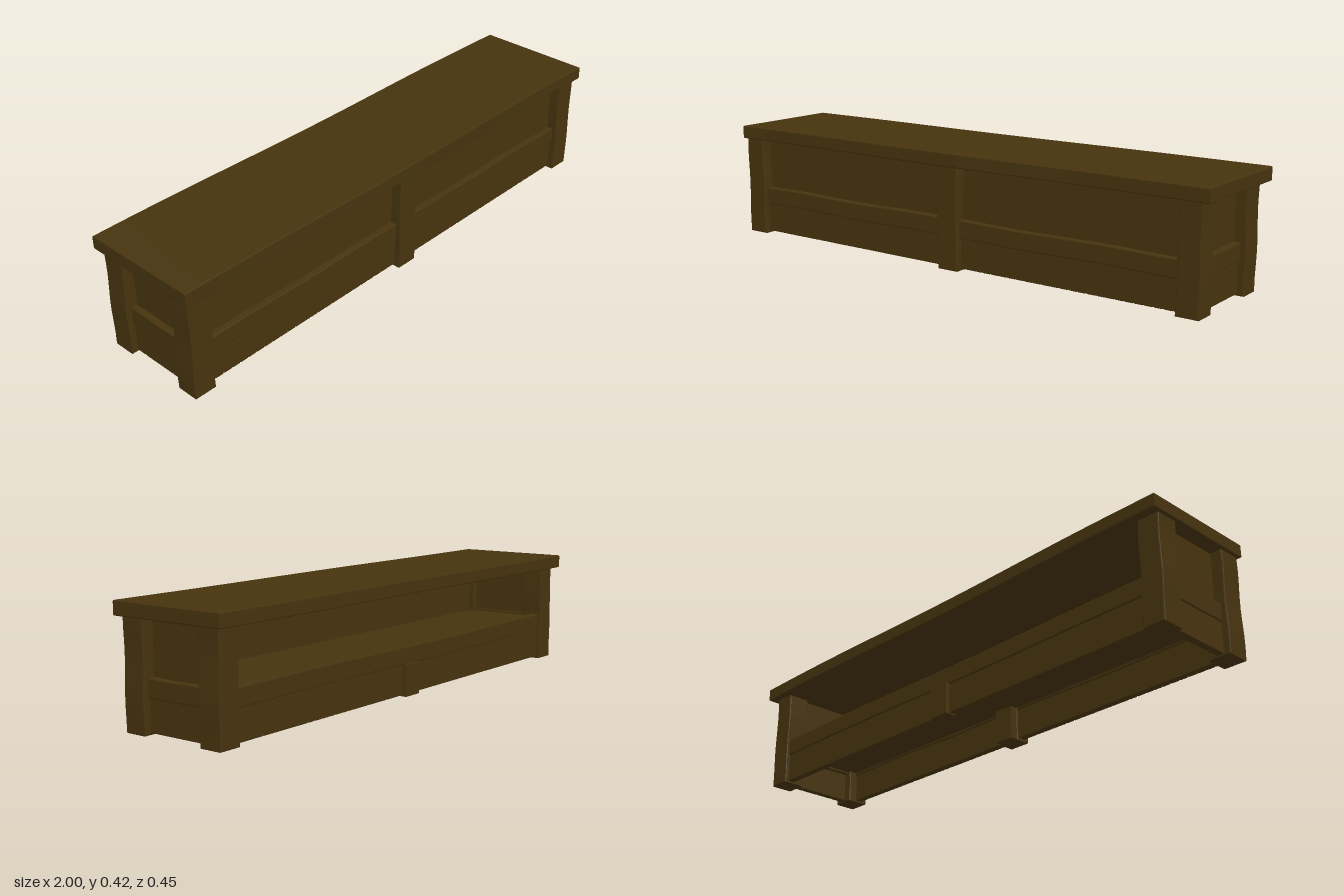
import * as THREE from 'three';

export function createModel() {
  const root = new THREE.Group();
  root.name = 'shopCounter';
  const wood = new THREE.MeshStandardMaterial({ color: 0x47340f });
  wood.name = 'dark wood';

  // Bevelled slab of a flat shape, centred on z = 0
  function slab(shape, thick, bevel = 0.004) {
    return new THREE.ExtrudeGeometry(shape, {
      depth: thick - 2 * bevel, bevelEnabled: true, bevelSize: bevel,
      bevelThickness: bevel, bevelOffset: -bevel, bevelSegments: 2,
    }).translate(0, 0, bevel - thick / 2);
  }

  // Hand-cut timber: long along x with gently wavy long edges
  function timber(len, wid, thick, amp, seed) {
    const n = Math.max(8, Math.round(len * 16)), pts = [];
    for (const s of [-1, 1])
      for (let i = 0; i <= n; i++) {
        const t = s < 0 ? i / n : 1 - i / n;
        pts.push(new THREE.Vector2((t - 0.5) * len, s * wid / 2 + amp * Math.sin(t * 9 + seed)));
      }
    return slab(new THREE.Shape(pts), thick);
  }

  // Lower skirt board with small notches along the bottom where its slats meet
  function skirt(len, count) {
    const y0 = 0.007, y1 = 0.118, notch = 0.003, pitch = len / count;
    const pts = [new THREE.Vector2(-len / 2, y0)];
    for (let i = 1; i < count; i++) {
      const x = -len / 2 + i * pitch;
      pts.push(new THREE.Vector2(x - notch, y0), new THREE.Vector2(x, y0 + notch),
        new THREE.Vector2(x + notch, y0));
    }
    pts.push(new THREE.Vector2(len / 2, y0), new THREE.Vector2(len / 2, y1),
      new THREE.Vector2(-len / 2, y1));
    return slab(new THREE.Shape(pts), 0.026, 0.0015);
  }

  function add(name, geometry, x, y, z) {
    const m = new THREE.Mesh(geometry, wood);
    m.name = name;
    m.position.set(x, y, z);
    root.add(m);
  }

  // Box given by its limits
  function board(name, x0, x1, y0, y1, z0, z1) {
    add(name, new THREE.BoxGeometry(x1 - x0, y1 - y0, z1 - z0),
      (x0 + x1) / 2, (y0 + y1) / 2, (z0 + z1) / 2);
  }

  // Counter top
  add('counterTop', timber(2, 0.443, 0.049, 0.004, 0.45).rotateX(-Math.PI / 2), 0, 0.3945, 0);

  // Corner posts, and the middle post at the front
  const post = (name, x, z, depth, seed) =>
    add(name, timber(0.372, 0.082, depth, 0.002, seed).rotateZ(Math.PI / 2), x, 0.186, z);
  post('frontRightPost', -0.946, 0.168, 0.085, 0);
  post('frontLeftPost', 0.932, 0.168, 0.085, 2);
  post('backRightPost', -0.946, -0.15, 0.086, 4);
  post('backLeftPost', 0.932, -0.15, 0.086, 1);
  post('frontMiddlePost', 0, 0.182, 0.058, 3);

  // Low blocks below the shelf: inside the front post and under the back rail
  board('frontMiddleBlock', -0.038, 0.038, 0.002, 0.13, 0.126, 0.16);
  board('backMiddleBlock', -0.04, 0.04, 0.003, 0.118, -0.192, -0.148);

  // Upper panels; the back stays open above its rail
  board('frontPanel', -0.94, 0.925, 0.15, 0.372, 0.15, 0.17);
  for (const x of [-0.935, 0.92]) board('endPanel', x - 0.01, x + 0.01, 0.15, 0.372, -0.15, 0.16);

  // Rails around the body
  const railY = 0.148;
  for (const [x, seed] of [[-0.472, 0], [0.465, 2]])
    add('frontRail', timber(0.87, 0.064, 0.038, 0.002, seed), x, railY, 0.174);
  add('backRail', timber(1.81, 0.064, 0.034, 0.002, 1), -0.007, railY, -0.164);
  for (const x of [-0.945, 0.93])
    add('endRail', timber(0.25, 0.064, 0.046, 0.001, 1).rotateY(Math.PI / 2), x, railY, 0.008);

  // Skirt boards below the rails
  const longSkirt = skirt(1.83, 52);
  add('frontSkirt', longSkirt, -0.007, 0, 0.173);
  add('backSkirt', longSkirt, -0.007, 0, -0.163);
  const endSkirt = skirt(0.28, 4).rotateY(Math.PI / 2);
  for (const x of [-0.95, 0.935]) add('endSkirt', endSkirt, x, 0, 0.002);

  // Inner shelf, open underneath
  board('shelf', -0.93, 0.915, 0.125, 0.17, -0.155, 0.16);

  return root;
}
